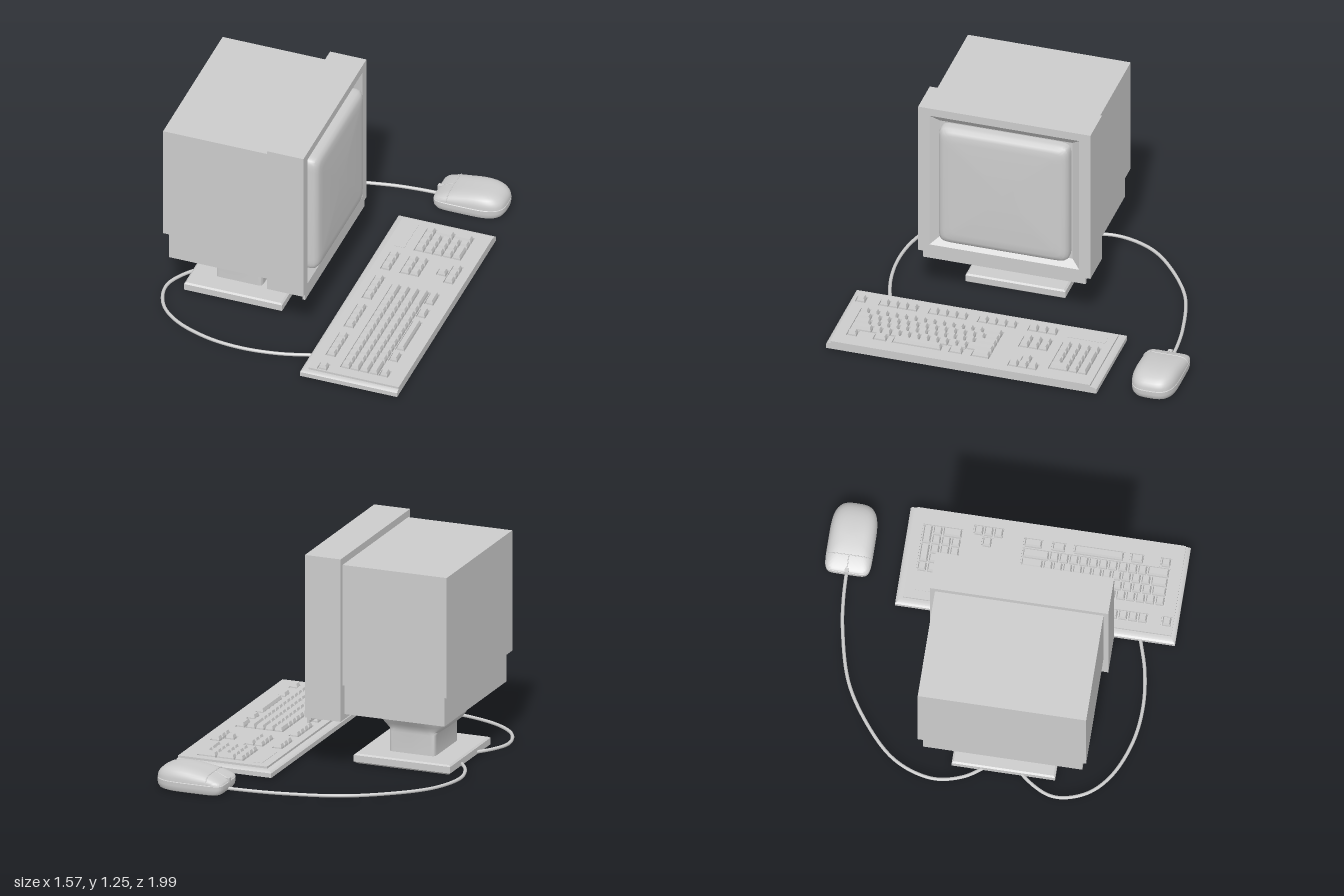
import * as THREE from 'three';
import { mergeGeometries, toCreasedNormals } from 'three/addons/utils/BufferGeometryUtils.js';

const material = new THREE.MeshStandardMaterial({ color: 0xcccccc });

// Cross-section outlines, counter-clockwise in (u, v)
const rect = (u, v) => [[u, v], [-u, v], [-u, -v], [u, -v]];
const oval = (ru, rv, p, n = 40) => Array.from({ length: n }, (_, i) => {
  const a = (i / n) * Math.PI * 2, f = (c) => Math.sign(c) * Math.abs(c) ** (2 / p);
  return [ru * f(Math.cos(a)), rv * f(Math.sin(a))];
});
// Place an outline across the x axis (u = y, v = z) or the y axis (u = z, v = x)
const acrossX = (x, pts, cy, cz) => pts.map(([u, v]) => new THREE.Vector3(x, cy + u, cz + v));
const acrossY = (y, pts, cx, cz) => pts.map(([u, v]) => new THREE.Vector3(cx + v, y, cz + u));

// Skin a row of rings and cap both ends
function loft(rings, crease = 0) {
  const tris = [], n = rings[0].length;
  const mid = (r) => r.reduce((s, p) => s.add(p), new THREE.Vector3()).divideScalar(n);
  const first = rings[0], last = rings[rings.length - 1], c0 = mid(first), c1 = mid(last);
  for (let j = 0; j < n; j++) {
    const k = (j + 1) % n;
    for (let i = 0; i < rings.length - 1; i++) {
      const a = rings[i][j], b = rings[i][k], c = rings[i + 1][k], d = rings[i + 1][j];
      tris.push(a, b, c, a, c, d);
    }
    tris.push(c0, first[k], first[j], c1, last[j], last[k]);
  }
  const g = new THREE.BufferGeometry().setFromPoints(tris);
  g.computeVertexNormals();
  return crease ? toCreasedNormals(g, crease) : g;
}

function add(parent, name, geometry) {
  const m = new THREE.Mesh(geometry, material);
  m.name = name;
  parent.add(m);
}

// Box given by its two extremes on each axis
function box(x0, x1, y0, y1, z0, z1) {
  return new THREE.BoxGeometry(x1 - x0, y1 - y0, z1 - z0)
    .translate((x0 + x1) / 2, (y0 + y1) / 2, (z0 + z1) / 2);
}

function tube(points, radius, segments = 80) {
  const curve = new THREE.CatmullRomCurve3(points.map((p) => new THREE.Vector3(...p)));
  return new THREE.TubeGeometry(curve, segments, radius, 8);
}

function buildMonitor() {
  const g = new THREE.Group();
  g.name = 'monitor';
  const cz = 0.167;
  add(g, 'rearCase', box(-0.735, -0.1, 0.51, 1.21, -0.305, 0.64));
  add(g, 'lowerCase', box(-0.71, -0.1, 0.335, 0.515, -0.28, 0.615));

  // Bezel with a sloping recess around the screen
  const bezel = [[-0.11, 0.4725, 0.5], [0.105, 0.4725, 0.5], [0.105, 0.425, 0.435], [0.07, 0.382, 0.385]];
  add(g, 'bezel', loft(bezel.map(([x, y, z]) => acrossX(x, rect(y, z), 0.7775, cz))));

  // Bulging screen with rounded rim
  const screen = [[0.06, 0.38], [0.1, 0.38], [0.12, 0.375], [0.136, 0.36], [0.143, 0.34], [0.146, 0.3]];
  add(g, 'screen', loft(screen.map(([x, r]) => acrossX(x, oval(r, r, 18, 48), 0.775, cz)), 0.6));
  add(g, 'controlStrip', box(0.08, 0.105, 0.285, 0.306, -0.305, 0.64));
  add(g, 'controlStripLip', box(0.09, 0.105, 0.265, 0.286, -0.305, 0.64));

  // Swivel neck: round bowl blending into a square column
  const neck = [
    [0.05, 0.17, 0.138, 16], [0.175, 0.17, 0.138, 16], [0.19, 0.172, 0.147, 8],
    [0.205, 0.178, 0.175, 5], [0.225, 0.19, 0.2, 4], [0.25, 0.212, 0.22, 3.2],
    [0.28, 0.232, 0.232, 2.7], [0.31, 0.242, 0.24, 2.5], [0.345, 0.245, 0.243, 2.5],
  ];
  add(g, 'swivelNeck', loft(neck.map(([y, rz, rx, p]) => acrossY(y, oval(rz, rx, p), -0.4, cz)), 0.7));

  const base = [[0, 0.275], [0.012, 0.29], [0.05, 0.29], [0.058, 0.28]];
  add(g, 'standBase', loft(base.map(([y, r]) => acrossY(y, rect(r, r), -0.39, cz))));
  return g;
}

function buildKeyboard() {
  const g = new THREE.Group();
  g.name = 'keyboard';
  const P = 0.055, keys = [], wells = [], topY = 0.062;

  const key = (x0, x1, z0, z1) => {
    const cx = (x0 + x1) / 2, cz = (z0 + z1) / 2, hx = (x1 - x0) / 2, hz = (z1 - z0) / 2;
    keys.push(loft([[0.045, 0.004], [0.066, 0.005], [0.084, 0.011]]
      .map(([y, i]) => acrossY(y, rect(hz - i, hx - i), cx, cz))));
  };
  const well = (x0, x1, z0, z1) => wells.push([x0 - 0.003, x1 + 0.003, z0 - 0.003, z1 + 0.003]);
  const block = (x, z, cols, rows) => {
    well(x, x + cols * P, z, z + rows * P);
    for (let i = 0; i < cols; i++) for (let j = 0; j < rows; j++) {
      key(x + i * P, x + (i + 1) * P, z + j * P, z + (j + 1) * P);
    }
  };

  // Rear row of keys and the navigation cluster
  for (const [z, n] of [[-0.21, 3], [0.027, 4], [0.313, 4], [0.6, 4], [0.9, 1]]) block(0.295, z, 1, n);
  block(0.41, -0.21, 2, 3);
  block(0.668, -0.21, 1, 3);
  block(0.605, -0.155, 1, 1);

  // Number pad, with double-length keys at its outer column and foot
  const nx = 0.41, nz = -0.49;
  well(nx, nx + 5 * P, nz, nz + 4 * P);
  for (let i = 0; i < 5; i++) for (let j = 1; j < 4; j++) {
    if (i < 4 || j === 1) key(nx + i * P, nx + (i + 1) * P, nz + j * P, nz + (j + 1) * P);
  }
  key(nx, nx + P, nz, nz + P);
  key(nx + P, nx + 3 * P, nz, nz + P);
  key(nx + 3 * P, nx + 5 * P, nz, nz + P);
  key(nx + 4 * P, nx + 5 * P, nz + 2 * P, nz + 4 * P);

  // Main rows: [first key, ordinary keys, last key] in key widths
  well(0.41, 0.41 + 4 * P, 0.075, 0.9);
  [[1, 12, 2], [1.5, 12, 1.5], [1.75, 11, 2.25], [2.25, 10, 2.75]].forEach(([a, n, b], r) => {
    let z = 0.9;
    for (const w of [a, ...Array(n).fill(1), b]) {
      key(0.41 + r * P, 0.41 + (r + 1) * P, z - w * P, z);
      z -= w * P;
    }
  });
  // Space bar row: [start, end] along z
  for (const [a, b] of [[0.843, 0.9], [0.672, 0.747], [0.355, 0.636], [0.233, 0.308], [0.075, 0.178]]) {
    well(0.639, 0.69, a, b);
    key(0.639, 0.69, a, b);
  }

  // Body: vertical sides, bevelled towards the back and both ends
  const body = [[0.012, 0.205, 0.78, 0], [0.038, 0.205, 0.78, 0], [0.046, 0.216, 0.78, 0.01], [0.05, 0.235, 0.78, 0.025]];
  add(g, 'keyboardBody', loft(body.map(([y, x0, x1, i]) =>
    acrossY(y, rect(0.785 - i, (x1 - x0) / 2), (x0 + x1) / 2, 0.207)), 0.5));

  // Top plate with openings for the key groups
  const outline = (x0, x1, z0, z1, T) => new T([[x0, z0], [x1, z0], [x1, z1], [x0, z1]].map((p) => new THREE.Vector2(...p)));
  const plate = outline(0.245, 0.78, -0.54, 0.966, THREE.Shape);
  wells.forEach((w) => plate.holes.push(outline(...w, THREE.Path)));
  const plateGeo = new THREE.ExtrudeGeometry(plate, { depth: 0.013, bevelEnabled: false });
  add(g, 'topPlate', plateGeo.rotateX(Math.PI / 2).translate(0, topY, 0));
  add(g, 'keys', mergeGeometries(keys));
  add(g, 'indicatorPanel', box(0.295, 0.352, topY - 0.004, topY + 0.002, -0.495, -0.27));
  return g;
}

function buildMouse() {
  const g = new THREE.Group();
  g.name = 'mouse';
  const cx = 0.54, cz = -0.87, seam = 0.066;
  // Outline is square at the button end and rounder at the palm end
  const front = oval(0.13, 0.205, 7, 64), back = oval(0.13, 0.205, 3.2, 64);
  const outline = front.map((p, i) => (p[1] < 0 ? p : back[i]));
  const scaled = (r) => outline.map(([u, v]) => [u * r, v * r]);
  const height = (x) => 0.022 + 0.053 * Math.sin(Math.min(1.25, (x - 0.335) / 0.3) * Math.PI / 2);
  const surface = (x, r) => seam + height(x) * Math.sqrt(Math.max(0, 1 - r ** 5));

  const lower = [[0.004, 0.86], [0.01, 0.94], [0.025, 0.99], [0.04, 1], [0.06, 1], [0.063, 0.97], [0.068, 0.97]];
  add(g, 'mouseBase', loft(lower.map(([y, r]) => acrossY(y, scaled(r), cx, cz)), 0.6));

  const dome = [1, 0.99, 0.97, 0.93, 0.87, 0.78, 0.65, 0.5, 0.3, 0.1].map((r) => {
    const ring = acrossY(0, scaled(r), cx, cz);
    ring.forEach((p) => { p.y = surface(p.x, r); });
    return ring;
  });
  add(g, 'mouseShell', loft(dome, 1));

  // Button seams and cable collar
  const seamLine = [];
  for (let i = -12; i <= 12; i++) {
    const z = 0.128 * i / 12;
    seamLine.push([0.425, surface(0.425, Math.max(0.56, Math.abs(z) / 0.13)), cz + z]);
  }
  add(g, 'buttonSeam', tube(seamLine, 0.003, 40));
  const split = [0.338, 0.345, 0.36, 0.39, 0.425].map((x) => [x, surface(x, (cx - x) / 0.205), cz]);
  add(g, 'buttonSplit', tube(split, 0.003, 20));
  add(g, 'cableCollar', box(0.33, 0.385, 0.06, 0.084, cz - 0.012, cz + 0.012));
  return g;
}

export function createModel() {
  const model = new THREE.Group();
  model.name = 'desktopComputer';
  model.add(buildMonitor(), buildKeyboard(), buildMouse());

  // Cables lie on the desk and run to the stand: [x, z]
  const cables = {
    mouseCable: [[0.36, -0.873], [0.2, -0.866], [0.03, -0.845], [-0.29, -0.76], [-0.53, -0.61], [-0.685, -0.46],
      [-0.755, -0.32], [-0.775, -0.185], [-0.735, -0.04], [-0.66, 0.07]],
    keyboardCable: [[0.22, 0.795], [0.03, 0.85], [-0.18, 0.873], [-0.39, 0.85], [-0.6, 0.767], [-0.72, 0.66],
      [-0.775, 0.53], [-0.775, 0.44], [-0.735, 0.35], [-0.66, 0.25]],
  };
  for (const [name, path] of Object.entries(cables)) {
    add(model, name, tube(path.map(([x, z]) => [x, 0.022, z]), 0.01));
  }
  return model;
}
